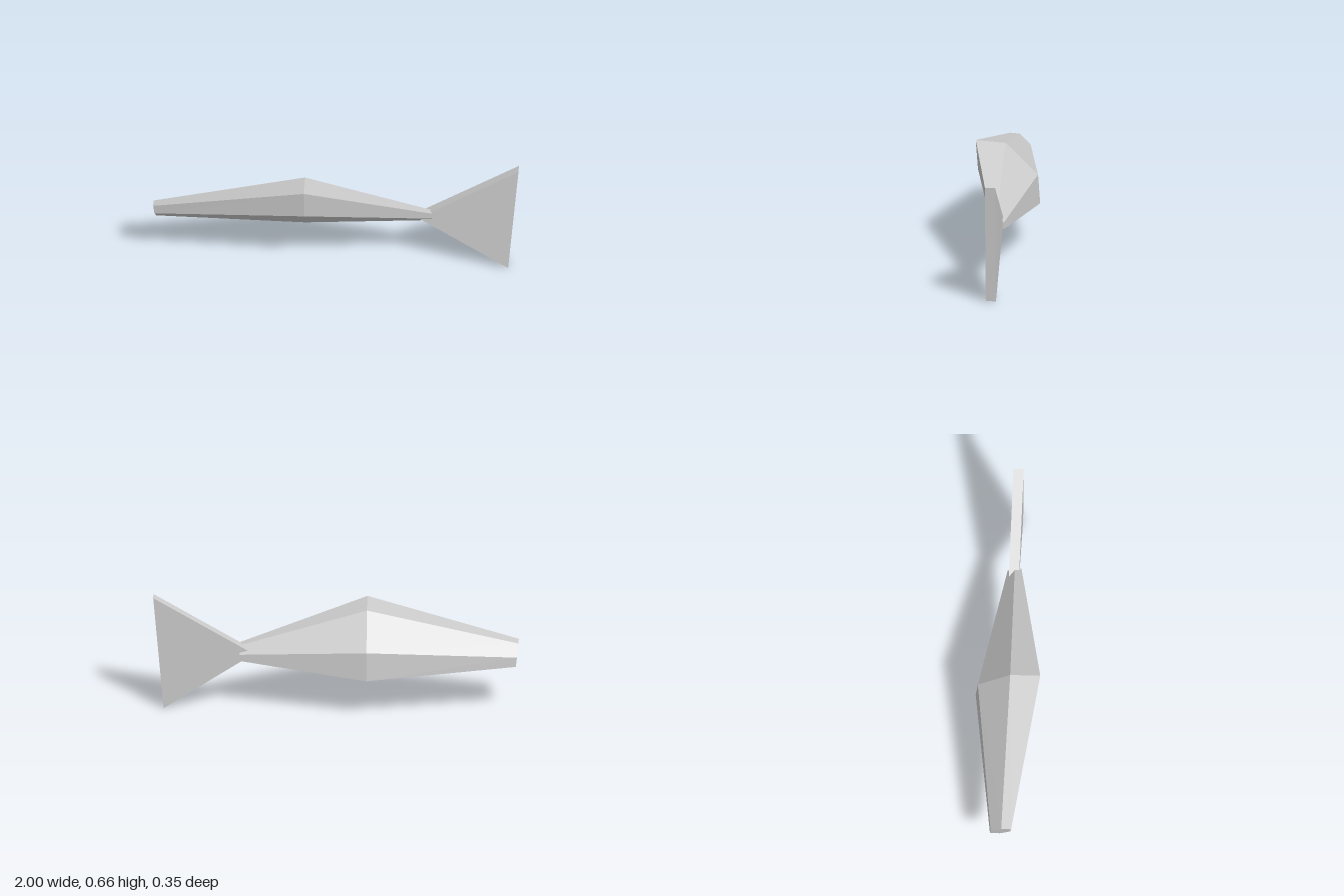
import * as THREE from 'three';

export function createModel() {
  const model = new THREE.Group();
  const grey = new THREE.MeshStandardMaterial({ color: 0xcccccc });
  grey.name = 'light grey';

  // Skewed hexagon at full size, as [z, y] offsets from the body's axis
  const hexagon = [
    [0.165, 0.0125], [0.177, 0.176], [0.012, 0.1635],
    [-0.165, -0.0125], [-0.177, -0.176], [-0.012, -0.1635],
  ];
  // Body sections: x, axis height, scale, lean of the section
  const sections = [
    [-0.992, 0.3375, 0.33, -0.13],
    [-0.17, 0.417, 1, 0],
    [0.527, 0.334, 0.222, 0],
  ];
  const rings = sections.map(([x, y, s, lean]) =>
    hexagon.map(([dz, dy]) => [x + lean * dy * s, y + dy * s, dz * s]));

  // Join the sections and close both ends
  const positions = [];
  const triangle = (a, b, c) => positions.push(...a, ...b, ...c);
  for (let i = 0; i < rings.length - 1; i++) {
    for (let j = 0; j < 6; j++) {
      const k = (j + 1) % 6;
      triangle(rings[i][j], rings[i + 1][j], rings[i + 1][k]);
      triangle(rings[i][j], rings[i + 1][k], rings[i][k]);
    }
  }
  const nose = rings[0];
  const rear = rings[rings.length - 1];
  for (let j = 1; j < 5; j++) {
    triangle(nose[0], nose[j], nose[j + 1]);
    triangle(rear[0], rear[j + 1], rear[j]);
  }
  const bodyGeometry = new THREE.BufferGeometry();
  bodyGeometry.setAttribute('position', new THREE.Float32BufferAttribute(positions, 3));
  bodyGeometry.computeVertexNormals();
  const body = new THREE.Mesh(bodyGeometry, grey);
  body.name = 'body';
  model.add(body);

  // Flat triangular tail fin
  const finShape = new THREE.Shape([
    new THREE.Vector2(0.45, 0.333),
    new THREE.Vector2(0.943, 0.003),
    new THREE.Vector2(1, 0.665),
  ]);
  const finGeometry = new THREE.ExtrudeGeometry(finShape, { depth: 0.056, bevelEnabled: false });
  finGeometry.translate(0, 0, -0.028);
  const tailFin = new THREE.Mesh(finGeometry, grey);
  tailFin.name = 'tailFin';
  model.add(tailFin);

  return model;
}
